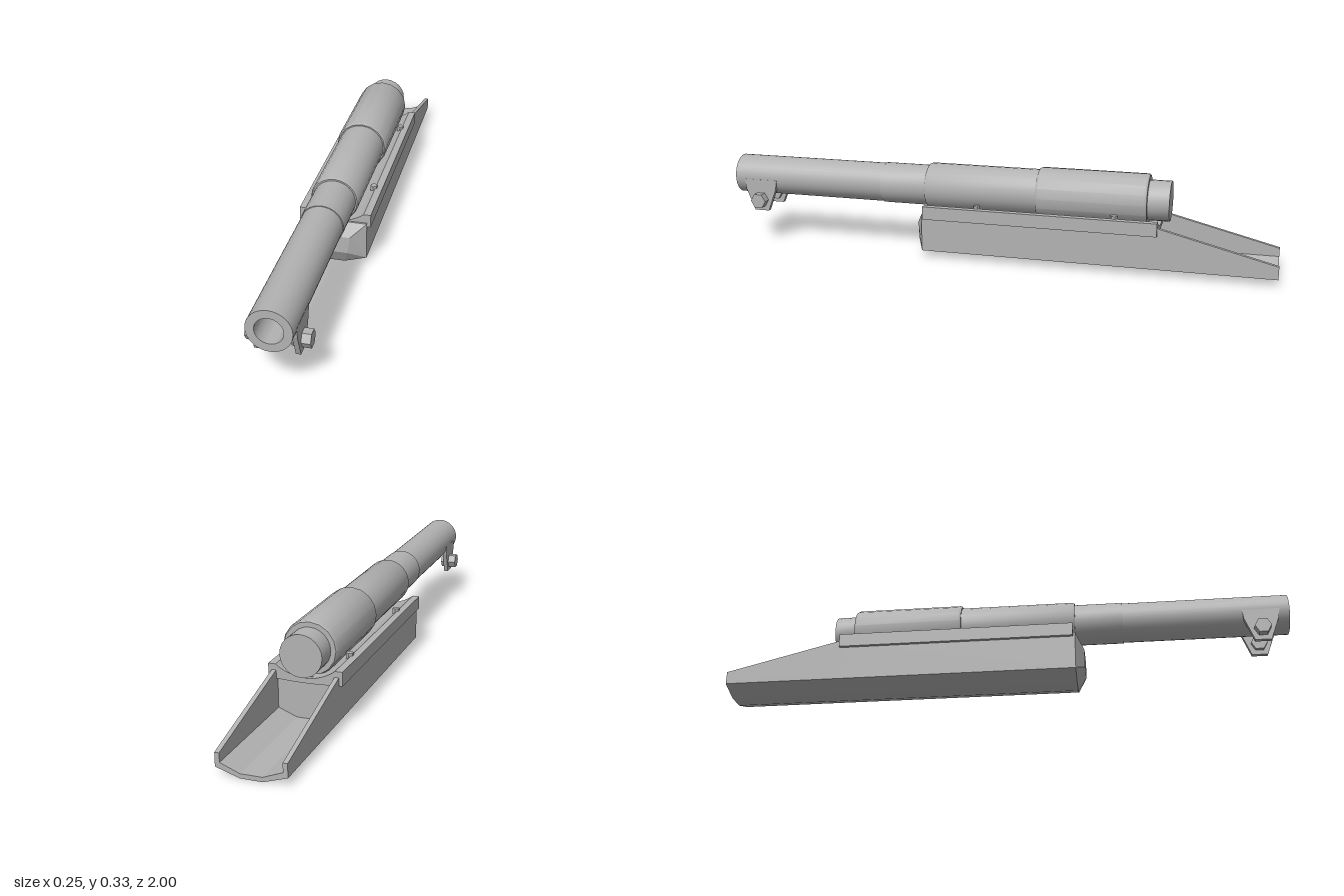
import * as THREE from 'three';
import { toCreasedNormals } from 'three/addons/utils/BufferGeometryUtils.js';

const AXIS_Y = 0.241; // height of the barrel axis

// Solid skinned over matching counter-clockwise outlines, ordered by rising z
function loft(sections) {
  const pos = [];
  const tri = (...pts) => pts.forEach(p => pos.push(...p));
  const rings = sections.map(({ z, pts }) => pts.map(([x, y]) => [x, y, z]));
  const n = rings[0].length;
  for (let s = 0; s < rings.length - 1; s++) {
    const a = rings[s], b = rings[s + 1];
    for (let i = 0; i < n; i++) {
      const j = (i + 1) % n;
      tri(a[i], a[j], b[j]);
      tri(a[i], b[j], b[i]);
    }
  }
  const cap = (ring, front) => {
    const flat = ring.map(p => new THREE.Vector2(p[0], p[1]));
    for (const [a, b, c] of THREE.ShapeUtils.triangulateShape(flat, [])) {
      front ? tri(ring[a], ring[b], ring[c]) : tri(ring[c], ring[b], ring[a]);
    }
  };
  cap(rings[0], false);
  cap(rings[rings.length - 1], true);
  const g = new THREE.BufferGeometry();
  g.setAttribute('position', new THREE.Float32BufferAttribute(pos, 3));
  g.computeVertexNormals();
  return g;
}

// Turned part along z; profile is [radius, z]
function turned(profile, sides) {
  const g = new THREE.LatheGeometry(profile.map(([r, z]) => new THREE.Vector2(r, z)), sides);
  g.rotateX(Math.PI / 2);
  g.translate(0, AXIS_Y, 0);
  return toCreasedNormals(g, 0.6);
}

export function createModel() {
  const model = new THREE.Group();
  const grey = new THREE.MeshStandardMaterial({ color: 0xb2b2b2 });
  grey.name = 'gunmetal grey';

  const add = (name, geometry, x = 0, y = 0, z = 0) => {
    const m = new THREE.Mesh(geometry, grey);
    m.name = name;
    m.position.set(x, y, z);
    model.add(m);
    return m;
  };

  // Barrel with an open bore, and the stepped sleeves around it
  add('barrel', turned([[0.071, 0.2], [0.071, 1], [0.044, 1], [0.044, -0.1], [0, -0.1]], 32));
  add('barrelCollar', turned([[0.071, 0.42], [0.0735, 0.42], [0.0735, 0.24]].reverse(), 32));
  add('frontSleeve', turned([[0.083, -0.17], [0.083, 0.243], [0.079, 0.25], [0.071, 0.25]], 24));
  add('rearSleeve', turned([[0.06, -0.55], [0.088, -0.55], [0.0925, -0.543],
    [0.0925, -0.167], [0.088, -0.16], [0.08, -0.16]], 16));
  add('breechCap', turned([[0, -0.625], [0.071, -0.625], [0.071, -0.54]], 24));

  // Boat-shaped hull with a chamfered nose
  const body = [[0.113, 0.025], [0.113, 0.16], [-0.113, 0.16], [-0.113, 0.025], [-0.035, 0], [0.035, 0]];
  const nose = [[0.052, 0.053], [0.06, 0.115], [-0.06, 0.115], [-0.052, 0.053], [-0.035, 0.053], [0.035, 0.053]];
  add('hull', loft([{ z: -0.58, pts: body }, { z: 0.25, pts: body }, { z: 0.28, pts: nose }]));

  // Open rear tray, its walls sloping down to the tail
  const tray = top => [
    [-0.113, top], [-0.113, 0.025], [-0.035, 0], [0.035, 0], [0.113, 0.025], [0.113, top],
    [0.098, top], [0.098, 0.04], [0.035, 0.015], [-0.035, 0.015], [-0.098, 0.04], [-0.098, top],
  ];
  add('rearTray', loft([{ z: -1, pts: tray(0.07) }, { z: -0.58, pts: tray(0.175) }]));

  // Cradle with side lips and a rounded trough under the sleeves
  const cradle = new THREE.Shape();
  cradle.moveTo(-0.125, 0.145);
  cradle.lineTo(-0.113, 0.145);
  cradle.quadraticCurveTo(0, 0.135, 0.113, 0.145);
  cradle.lineTo(0.125, 0.145);
  cradle.lineTo(0.125, 0.192);
  cradle.lineTo(0.1, 0.192);
  cradle.lineTo(0.088, 0.183);
  cradle.quadraticCurveTo(0, 0.13, -0.088, 0.183);
  cradle.lineTo(-0.1, 0.192);
  cradle.lineTo(-0.125, 0.192);
  const cradleGeo = new THREE.ExtrudeGeometry(cradle, { depth: 0.835, bevelEnabled: false, curveSegments: 12 });
  add('cradle', toCreasedNormals(cradleGeo, 0.5), 0, 0, -0.592);

  // Tapered lug plate, drawn as (z, y) and turned to face sideways
  const lug = new THREE.Shape([
    [0.835, 0.235], [0.84, 0.2], [0.872, 0.117], [0.928, 0.117], [0.96, 0.2], [0.965, 0.235],
  ].map(([z, y]) => new THREE.Vector2(-z, y)));
  const lugGeo = new THREE.ExtrudeGeometry(lug, { depth: 0.016, bevelEnabled: false });
  lugGeo.rotateY(Math.PI / 2);
  const lugBoltGeo = new THREE.CylinderGeometry(0.029, 0.029, 0.06, 6).toNonIndexed();
  lugBoltGeo.rotateZ(Math.PI / 2);
  lugBoltGeo.computeVertexNormals();
  const cradleBoltGeo = new THREE.CylinderGeometry(0.013, 0.013, 0.02, 6).toNonIndexed();
  cradleBoltGeo.computeVertexNormals();

  for (const [side, s] of [['left', 1], ['right', -1]]) {
    add(side + 'Lug', lugGeo, s * 0.063 - 0.008);
    add(side + 'LugBolt', lugBoltGeo, s * 0.07, 0.159, 0.9);
    for (const z of [0.05, -0.44]) add(side + 'CradleBolt', cradleBoltGeo, s * 0.094, 0.191, z);
  }
  return model;
}
